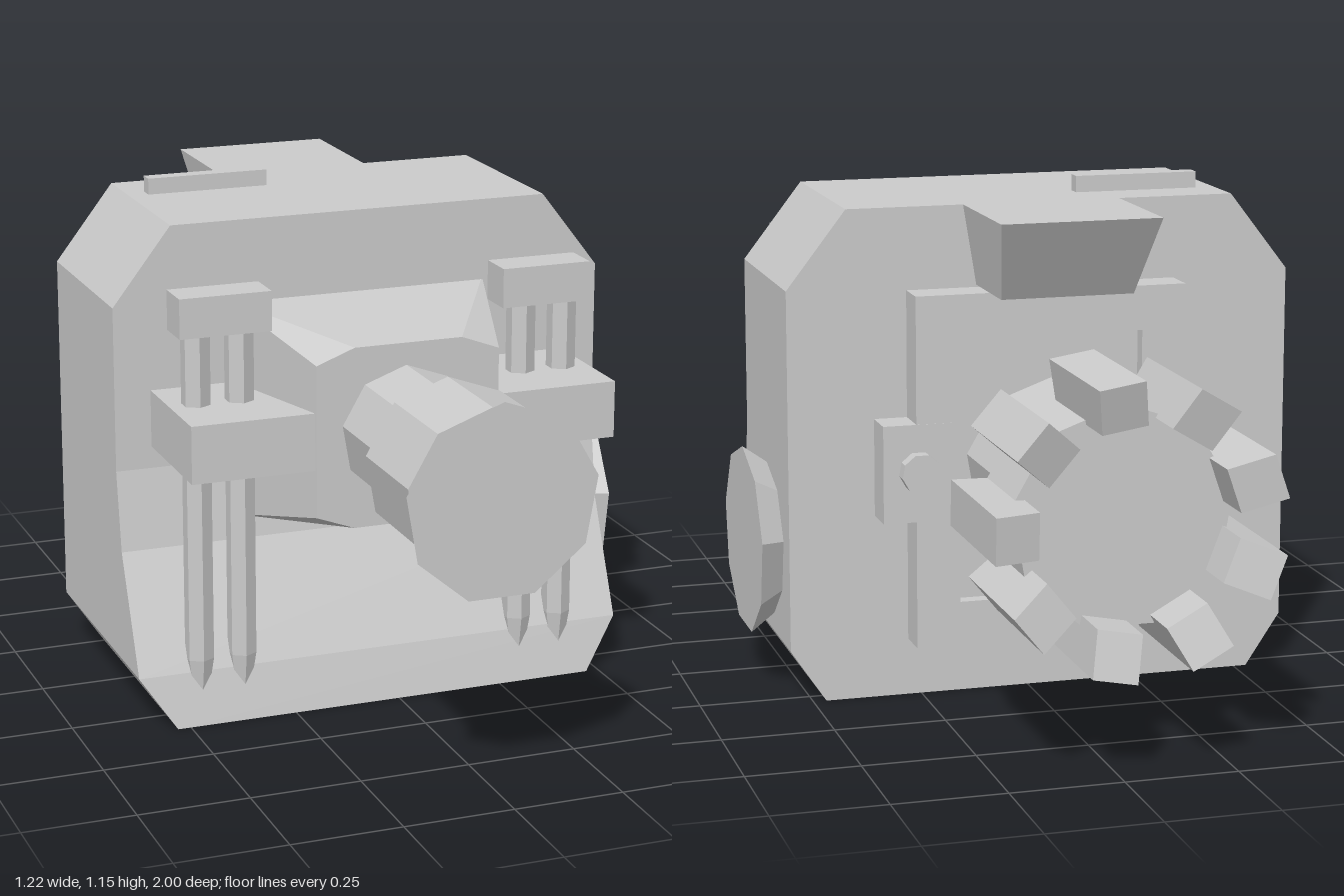
import * as THREE from 'three';
import { ConvexGeometry } from 'three/addons/geometries/ConvexGeometry.js';

const CX = -0.03; // the body's middle line
const V = (x, y, z) => new THREE.Vector3(x, y, z);

export function createModel() {
  const model = new THREE.Group();
  const material = new THREE.MeshStandardMaterial({ color: 0xcccccc, flatShading: true });

  const add = (name, geometry, x = 0, y = 0, z = 0) => {
    const mesh = new THREE.Mesh(geometry, material);
    mesh.name = name;
    mesh.position.set(x, y, z);
    model.add(mesh);
    return mesh;
  };
  // box given by its limits on each axis
  const box = (name, x0, x1, y0, y1, z0, z1) =>
    add(name, new THREE.BoxGeometry(x1 - x0, y1 - y0, z1 - z0), (x0 + x1) / 2, (y0 + y1) / 2, (z0 + z1) / 2);
  // nine-sided turned part, profile of [radius, height]
  const turned = (profile, start) =>
    new THREE.LatheGeometry(profile.map(([r, h]) => new THREE.Vector2(r, h)), 9, start);

  // body: stacked rectangles, [height, half width, front z]
  const rows = [
    [0, 0.5, 0.34], [0.12, 0.58, 0.312], [0.38, 0.58, 0.195],
    [0.56, 0.58, 0.165], [0.935, 0.58, 0.165], [1.11, 0.445, 0.165],
  ];
  const body = new THREE.BoxGeometry(2, 5, 2, 1, 5, 1);
  const p = body.attributes.position;
  for (let i = 0; i < p.count; i++) {
    const [y, w, front] = rows[Math.round(p.getY(i) + 2.5)];
    p.setXYZ(i, CX + p.getX(i) * w, y, p.getZ(i) > 0 ? front : -0.29);
  }
  add('body', body);
  box('topBar', -0.43, -0.145, 1.1, 1.147, -0.178, -0.143);

  // overhang at the top of the back
  const hood = [];
  for (const s of [-1, 1]) {
    hood.push(V(CX + s * 0.18, 1.11, -0.25), V(CX + s * 0.18, 1.11, -0.595),
      V(CX + s * 0.15, 0.93, -0.25), V(CX + s * 0.15, 0.93, -0.49));
  }
  add('rearHood', new ConvexGeometry(hood));

  // front housing: rectangle narrowing to a cut-cornered face
  const housing = [];
  const hx = -0.032, hy = 0.675;
  for (const sx of [-1, 1]) for (const sy of [-1, 1]) {
    housing.push(V(hx + sx * 0.305, hy + sy * 0.25, 0.15),
      V(hx + sx * 0.213, hy + sy * 0.172, 0.465), V(hx + sx * 0.125, hy + sy * 0.205, 0.465));
  }
  add('frontHousing', new ConvexGeometry(housing));

  // barrel with a collar and flared end
  const barrel = turned([[0, 0.4], [0.15, 0.4], [0.15, 0.67], [0.187, 0.7], [0.187, 0.94],
    [0.175, 0.94], [0.215, 1], [0, 1]], Math.PI).rotateX(Math.PI / 2);
  add('barrel', barrel, -0.037, 0.68, 0);

  // arms, clamps and pointed rods on both sides of the housing
  for (const s of [-1, 1]) {
    const arm = add('sideArm', new THREE.BoxGeometry(0.35, 0.13, 0.31), CX + s * 0.322, 0.675, 0.305);
    arm.scale.x = 1;
    add('rodClamp', new THREE.BoxGeometry(0.21, 0.09, 0.09), CX + s * 0.378, 0.945, 0.298);
    for (const offset of [0.335, 0.435]) {
      const x = CX + s * offset;
      add('rod', new THREE.CylinderGeometry(0.033, 0.033, 0.77, 6), x, 0.535, 0.3);
      add('rodTip', new THREE.CylinderGeometry(0.033, 0.018, 0.095, 6), x, 0.1025, 0.3);
    }
  }

  // flared disc on one side
  add('sideDisc', turned([[0, -0.02], [0.175, -0.02], [0.175, 0], [0.215, 0.056], [0, 0.056]], -Math.PI / 2)
    .rotateZ(-Math.PI / 2), 0.55, 0.328, -0.056);

  // back plate: frame, sunken panel and latch
  const frame = new THREE.Shape([[-0.34, 0.13], [0.28, 0.13], [0.28, 0.925], [-0.34, 0.925]]
    .map(([x, y]) => new THREE.Vector2(x, y)));
  frame.holes.push(new THREE.Path([[-0.24, 0.23], [-0.24, 0.825], [0.18, 0.825], [0.18, 0.23]]
    .map(([x, y]) => new THREE.Vector2(x, y))));
  add('backFrame', new THREE.ExtrudeGeometry(frame, { depth: 0.1, bevelEnabled: false }), 0, 0, -0.373);
  box('backPanel', -0.25, 0.19, 0.22, 0.835, -0.34, -0.27);
  box('latch', 0.2, 0.355, 0.42, 0.64, -0.374, -0.27);
  add('latchKnob', new THREE.CylinderGeometry(0.045, 0.045, 0.06, 9).rotateX(Math.PI / 2), 0.275, 0.535, -0.375);

  // rear shaft and toothed wheel
  const wheel = new THREE.Group();
  wheel.name = 'rearWheel';
  wheel.position.set(-0.038, 0.525, 0);
  model.add(wheel);
  const shaft = new THREE.Mesh(turned([[0, 0.27], [0.197, 0.27], [0.197, 0.66], [0, 0.66]], 0)
    .rotateX(-Math.PI / 2), material);
  shaft.name = 'rearShaft';
  const hub = new THREE.Mesh(turned([[0, 0.65], [0.245, 0.65], [0.245, 0.86], [0, 0.86]], 0)
    .rotateX(-Math.PI / 2), material);
  hub.name = 'wheelHub';
  wheel.add(shaft, hub);

  // tooth with a slanted end, repeated around the hub
  const tooth = [];
  for (const x of [-0.05, 0.05]) {
    tooth.push(V(x, 0.315, -0.65), V(x, 0.315, -1), V(x, 0.215, -0.65), V(x, 0.215, -0.97));
  }
  const toothGeometry = new ConvexGeometry(tooth);
  for (let i = 0; i < 9; i++) {
    const mesh = new THREE.Mesh(toothGeometry, material);
    mesh.name = 'wheelTooth';
    mesh.rotation.z = -THREE.MathUtils.degToRad(9 + i * 40);
    wheel.add(mesh);
  }
  return model;
}
